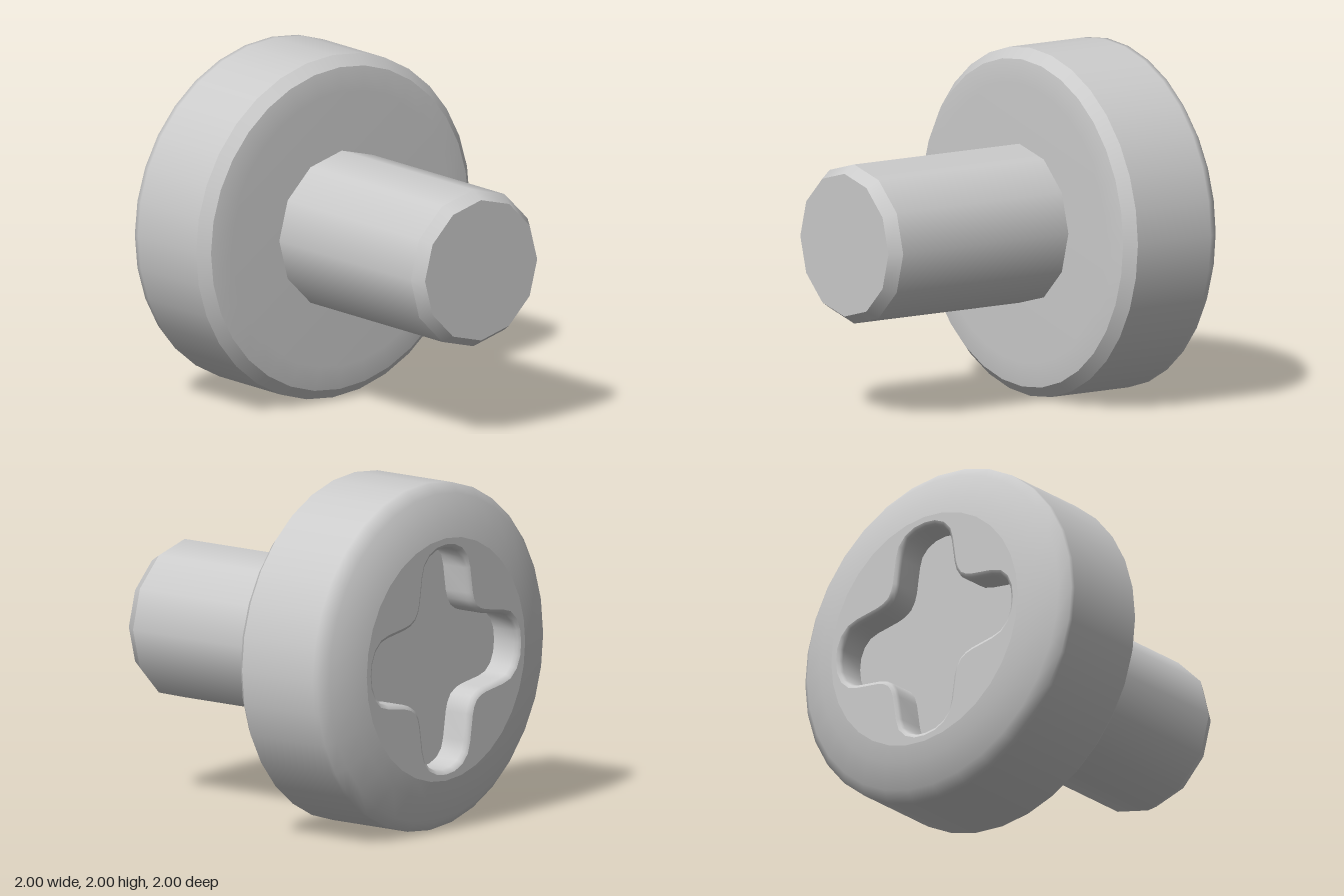
import * as THREE from 'three';

const material = new THREE.MeshStandardMaterial({ color: 0xcccccc });
const V = (x, y) => new THREE.Vector2(x, y);

// Revolves [radius, z] pairs, listed from back to front, about the z axis
function turned(name, profile, sides) {
  const geometry = new THREE.LatheGeometry(profile.map(([r, z]) => V(r, z)), sides);
  geometry.rotateX(Math.PI / 2);
  const mesh = new THREE.Mesh(geometry, material);
  mesh.name = name;
  return mesh;
}

// Flat shape facing the back
function backFace(name, shape, z) {
  const geometry = new THREE.ShapeGeometry(shape);
  geometry.rotateY(Math.PI).translate(0, 0, z);
  const mesh = new THREE.Mesh(geometry, material);
  mesh.name = name;
  return mesh;
}

// Rounded cross outline, counter-clockwise, widened by grow
function crossOutline(grow) {
  const half = [[0.64, 0], [0.632, 0.07], [0.605, 0.13], [0.56, 0.172], [0.5, 0.19],
    [0.35, 0.213], [0.3, 0.228]];
  const mirrored = half.slice(1).reverse().map(([x, y]) => [y, x]);
  const quarter = [...half, [0.256, 0.256], ...mirrored];
  const points = [];
  for (let q = 0; q < 4; q++) {
    for (const [x, y] of quarter) points.push(V(x, y).rotateAround(V(0, 0), q * Math.PI / 2));
  }
  const n = points.length;
  return points.map((p, i) => {
    const t = points[(i + 1) % n].clone().sub(points[(i + n - 1) % n]).normalize();
    return V(p.x + t.y * grow, p.y - t.x * grow);
  });
}

// Recess wall joined from rings of [grow, z], with a softened lip
function recessWall(rings) {
  const positions = [], index = [];
  let n = 0;
  rings.forEach(([grow, z], k) => {
    const outline = crossOutline(grow);
    n = outline.length;
    outline.forEach((p, i) => {
      positions.push(p.x, p.y, z);
      if (k === rings.length - 1) return;
      const a = k * n + i, b = k * n + (i + 1) % n;
      index.push(a, a + n, b, b, a + n, b + n);
    });
  });
  const geometry = new THREE.BufferGeometry();
  geometry.setAttribute('position', new THREE.Float32BufferAttribute(positions, 3));
  geometry.setIndex(index);
  geometry.computeVertexNormals();
  const mesh = new THREE.Mesh(geometry, material);
  mesh.name = 'recessWall';
  return mesh;
}

export function createModel() {
  const model = new THREE.Group();
  model.name = 'screw';

  // Head: rounded back edge, straight side, chamfer and slightly raised front
  const head = new THREE.Group();
  head.name = 'head';
  head.add(
    turned('headSide', [[0.7, -1], [0.8, -0.98], [0.945, -0.928], [1, -0.88], [1, -0.85], [1, -0.33]], 32),
    turned('headChamfer', [[1, -0.33], [0.94, -0.27]], 32),
    turned('headUnderside', [[0.94, -0.27], [0.8, -0.25], [0, -0.25]], 32),
  );

  // Back cap with the cross-shaped opening
  const rim = [];
  for (let i = 0; i < 32; i++) rim.push(V(0.7, 0).rotateAround(V(0, 0), i * Math.PI / 16));
  const cap = new THREE.Shape(rim);
  cap.holes.push(new THREE.Path(crossOutline(0.025)));
  head.add(backFace('headCap', cap, -1));

  // Drive recess
  head.add(
    recessWall([[0.025, -1], [0.007, -0.99], [0, -0.97], [0, -0.82]]),
    backFace('recessFloor', new THREE.Shape(crossOutline(0)), -0.82),
  );

  // Shaft with a chamfered tip
  const shaft = new THREE.Group();
  shaft.name = 'shaft';
  shaft.add(
    turned('shaftSide', [[0.457, -0.25], [0.457, 0.93]], 12),
    turned('shaftChamfer', [[0.457, 0.93], [0.41, 1]], 12),
    turned('shaftEnd', [[0.41, 1], [0, 1]], 12),
  );

  model.add(head, shaft);
  head.position.y = shaft.position.y = 1;
  return model;
}
